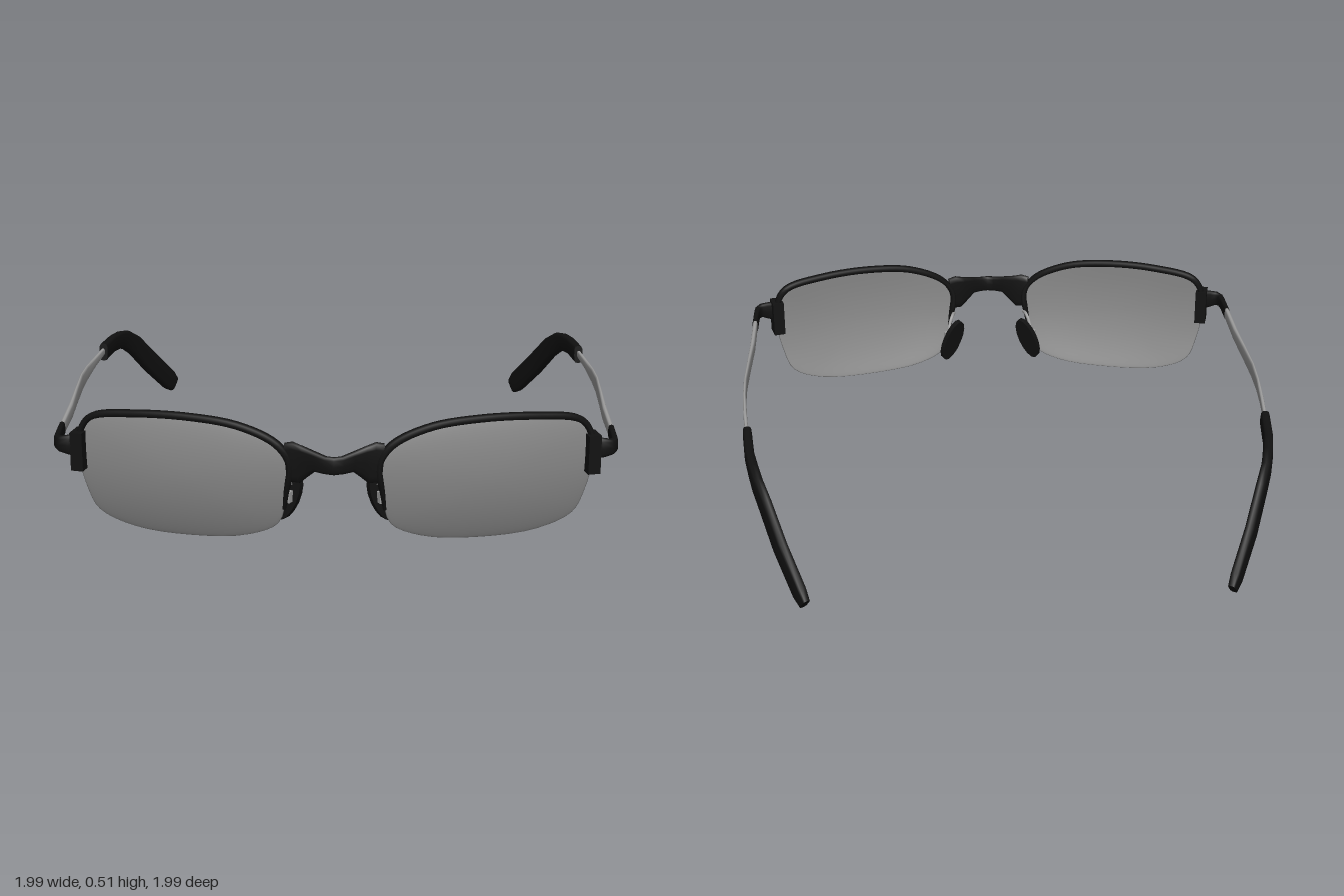
import * as THREE from 'three';
import { mergeVertices } from 'three/addons/utils/BufferGeometryUtils.js';

const black = new THREE.MeshStandardMaterial({ color: 0x111111 });
const metal = new THREE.MeshStandardMaterial({ color: 0xa0a0a0 });
const glass = new THREE.MeshStandardMaterial({ color: 0x8a8a8a });
const V = (x, y, z) => new THREE.Vector3(x, y, z);

// Solid through rounded-box sections [x, y, z, halfWidth, halfHeight]; height leans towards ref
function loft(sections, ref = V(0, 1, 0), sides = 12) {
  const pos = [], index = [], last = sections.length - 1;
  const centres = sections.map(s => V(s[0], s[1], s[2]));
  const soft = v => Math.sign(v) * Math.pow(Math.abs(v), 0.6);
  const rings = sections.map((s, j) => {
    const t = centres[Math.min(j + 1, last)].clone().sub(centres[Math.max(j - 1, 0)]).normalize();
    const side = t.clone().cross(ref).normalize(), up = side.clone().cross(t);
    return Array.from({ length: sides }, (_, i) => {
      const a = (i / sides) * Math.PI * 2;
      return centres[j].clone().addScaledVector(side, soft(Math.cos(a)) * s[3])
        .addScaledVector(up, soft(Math.sin(a)) * s[4]);
    });
  });
  rings.forEach(r => r.forEach(p => pos.push(p.x, p.y, p.z)));
  for (let j = 0; j < last; j++) for (let i = 0; i < sides; i++) {
    const a = j * sides + i, b = j * sides + (i + 1) % sides;
    index.push(a, a + sides, b, b, a + sides, b + sides);
  }
  // End caps with their own vertices, so the ends stay crisp
  for (const j of [0, last]) {
    const base = pos.length / 3;
    [centres[j], ...rings[j]].forEach(p => pos.push(p.x, p.y, p.z));
    for (let i = 0; i < sides; i++) {
      const a = base + 1 + i, b = base + 1 + (i + 1) % sides;
      index.push(base, j ? b : a, j ? a : b);
    }
  }
  const g = new THREE.BufferGeometry();
  g.setAttribute('position', new THREE.Float32BufferAttribute(pos, 3));
  g.setIndex(index);
  g.computeVertexNormals();
  return g;
}

// Wrapped lens surface: sweeps back towards the temples and curves vertically
const sweep = new THREE.SplineCurve([[0.1, 0.915], [0.2, 0.905], [0.4, 0.882], [0.65, 0.825], [0.9, 0.74], [1, 0.7]]
  .map(p => new THREE.Vector2(...p))).getPoints(60);
function lensZ(x, y) {
  let i = 1;
  while (i < sweep.length - 1 && sweep[i].x < x) i++;
  const a = sweep[i - 1], b = sweep[i];
  return a.y + (b.y - a.y) * (x - a.x) / (b.x - a.x) - 0.6 * (y - 0.37) ** 2;
}

// Lens outline, from the nose side under and round, counterclockwise
const outlinePts = [[0.155, 0.36], [0.165, 0.25], [0.195, 0.12], [0.3, 0.065], [0.5, 0.043], [0.72, 0.057],
  [0.84, 0.11], [0.88, 0.2], [0.9, 0.3], [0.89, 0.42], [0.85, 0.47], [0.7, 0.497], [0.5, 0.503], [0.33, 0.483], [0.2, 0.425]];
const outline = new THREE.CatmullRomCurve3(outlinePts.map(p => V(p[0], p[1], 0)), true);

// A flattened sphere stretched to the outline and bent onto the lens surface
function lensGeometry() {
  const g = new THREE.SphereGeometry(1, 60, 24), p = g.attributes.position, uv = g.attributes.uv;
  const c = V(0.53, 0.28, 0);
  for (let i = 0; i < p.count; i++) {
    const h = p.getY(i), r = Math.hypot(p.getX(i), p.getZ(i));
    const q = outline.getPoint(((uv.getX(i) % 1) + 1) % 1).sub(c).multiplyScalar(r).add(c);
    p.setXYZ(i, q.x, q.y, lensZ(q.x, q.y) + 0.007 * h);
  }
  g.deleteAttribute('uv');
  g.deleteAttribute('normal');
  const merged = mergeVertices(g, 1e-5);
  merged.computeVertexNormals();
  return merged;
}

// Half rim from the hinge corner over the top and down the nose side
function rimGeometry() {
  const n = 48, u0 = 8 / 15, u1 = 16.5 / 15, sections = [];
  for (let i = 0; i <= n; i++) {
    const p = outline.getPoint((u0 + (u1 - u0) * i / n) % 1);
    const taper = Math.min(1, 0.5 + (n - i) / 10);
    sections.push([p.x, p.y, lensZ(p.x, p.y), 0.012 * taper, 0.018 * taper]);
  }
  return loft(sections, V(0.2, 0, 1), 8);
}

function createSide(name) {
  const side = new THREE.Group();
  side.name = name;
  const add = (part, geometry, material) => {
    const m = new THREE.Mesh(geometry, material);
    m.name = part;
    side.add(m);
    return m;
  };
  add('lens', lensGeometry(), glass);
  add('rim', rimGeometry(), black);

  // Hinge block and the elbow turning back into the temple
  const block = add('hingeBlock', new THREE.BoxGeometry(0.045, 0.14, 0.07), black);
  block.position.set(0.897, 0.345, 0.747);
  block.rotation.y = 0.25;
  add('hingeElbow', loft([
    [0.89, 0.37, 0.75, 0.016, 0.045], [0.935, 0.367, 0.762, 0.016, 0.036], [0.963, 0.37, 0.757, 0.015, 0.029],
    [0.977, 0.37, 0.735, 0.013, 0.026], [0.98, 0.37, 0.7, 0.011, 0.025], [0.981, 0.37, 0.6, 0.011, 0.026]]), black);

  // Flat metal temple, widest at its middle
  add('templeArm', loft([
    [0.981, 0.37, 0.61, 0.009, 0.024], [0.981, 0.369, 0.4, 0.009, 0.026], [0.987, 0.369, 0.22, 0.007, 0.029],
    [0.991, 0.37, 0.06, 0.006, 0.031], [0.988, 0.369, -0.06, 0.006, 0.027], [0.978, 0.368, -0.2, 0.007, 0.018],
    [0.962, 0.367, -0.36, 0.007, 0.013]]), metal);

  // Ear tip, bent down and inward
  add('earTip', loft([
    [0.962, 0.366, -0.345, 0.017, 0.036], [0.946, 0.356, -0.5, 0.018, 0.034], [0.928, 0.345, -0.59, 0.019, 0.036],
    [0.911, 0.324, -0.655, 0.019, 0.042], [0.885, 0.283, -0.718, 0.019, 0.045], [0.833, 0.173, -0.83, 0.019, 0.047],
    [0.768, 0.057, -0.945, 0.018, 0.045], [0.75, 0.027, -0.975, 0.014, 0.033]]), black);

  // Oval nose pad on a bent wire
  const pad = add('nosePad', new THREE.CylinderGeometry(1, 1, 1, 16), black);
  const long = V(0.07, -0.17, -0.015).normalize(), normal = long.clone().cross(V(0.8, 0.3, -0.55)).normalize();
  pad.quaternion.setFromRotationMatrix(new THREE.Matrix4().makeBasis(normal.clone().cross(long), normal, long));
  pad.position.set(0.162, 0.19, 0.797);
  pad.scale.set(0.04, 0.022, 0.092);
  const wire = new THREE.CatmullRomCurve3([V(0.15, 0.27, 0.9), V(0.16, 0.275, 0.85), V(0.172, 0.24, 0.83), V(0.17, 0.2, 0.805)]);
  add('nosePadWire', new THREE.TubeGeometry(wire, 16, 0.007, 8), metal);
  const mount = add('nosePadMount', new THREE.BoxGeometry(0.045, 0.04, 0.025), metal);
  mount.position.set(0.172, 0.2, 0.815);
  mount.rotation.y = 0.5;
  return side;
}

export function createModel() {
  const model = new THREE.Group();
  model.name = 'glasses';

  // Bridge, flaring where it meets the rims
  const half = [[0.03, 0.373, 0.968, 0.014, 0.032], [0.065, 0.378, 0.948, 0.014, 0.036],
    [0.1, 0.372, 0.928, 0.014, 0.056], [0.13, 0.363, 0.915, 0.014, 0.075], [0.165, 0.36, 0.905, 0.012, 0.07]];
  const mirrored = half.map(([x, ...rest]) => [-x, ...rest]).reverse();
  const bridge = new THREE.Mesh(loft([...mirrored, [0, 0.372, 0.976, 0.014, 0.032], ...half]), black);
  bridge.name = 'bridge';
  model.add(bridge);

  const right = createSide('rightSide');
  right.scale.x = -1;
  model.add(createSide('leftSide'), right);
  return model;
}
